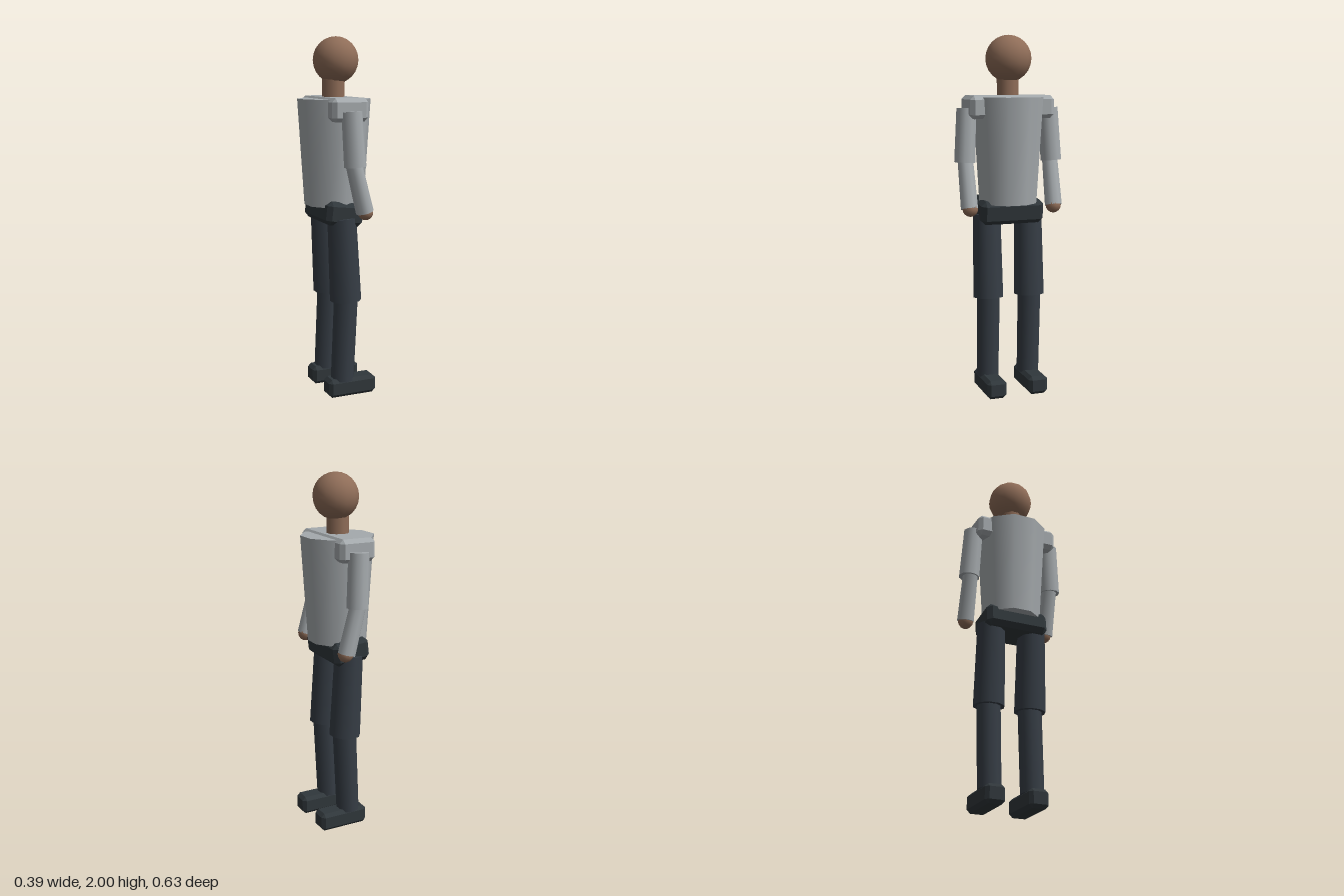
import * as THREE from 'three';
import { ConvexGeometry } from 'three/addons/geometries/ConvexGeometry.js';

const material = (name, color) => {
  const m = new THREE.MeshStandardMaterial({ color });
  m.name = name;
  return m;
};

// Box with every edge cut at 45 degrees
function chamferBox(w, h, d, b) {
  const [x, y, z] = [w / 2, h / 2, d / 2];
  const points = [];
  for (const i of [-1, 1]) for (const j of [-1, 1]) for (const k of [-1, 1]) {
    points.push(
      new THREE.Vector3(i * x, j * (y - b), k * (z - b)),
      new THREE.Vector3(i * (x - b), j * y, k * (z - b)),
      new THREE.Vector3(i * (x - b), j * (y - b), k * z));
  }
  return new ConvexGeometry(points);
}

export function createModel() {
  const model = new THREE.Group();
  model.name = 'standingFigure';
  const skin = material('skin', 0x8f6d58);
  const shirt = material('shirt grey', 0xa5aaad);
  const trousers = material('trouser slate', 0x363d45);
  const dark = material('belt and shoe charcoal', 0x30373b);

  const add = (name, geometry, mat, x, y, z) => {
    const mesh = new THREE.Mesh(geometry, mat);
    mesh.name = name;
    mesh.position.set(x, y, z);
    model.add(mesh);
    return mesh;
  };

  // Tapered limb running from an upper joint to a lower joint
  const limb = (name, mat, top, bottom, rTop, rBottom) => {
    const a = new THREE.Vector3(...top), b = new THREE.Vector3(...bottom);
    const dir = a.clone().sub(b);
    const mid = a.clone().add(b).multiplyScalar(0.5);
    const mesh = add(name, new THREE.CylinderGeometry(rTop, rBottom, dir.length(), 10), mat, mid.x, mid.y, mid.z);
    mesh.quaternion.setFromUnitVectors(new THREE.Vector3(0, 1, 0), dir.normalize());
  };

  // Head and neck
  add('head', new THREE.SphereGeometry(0.127, 14, 12), skin, 0.01, 1.873, 0).rotation.y = Math.PI / 2;
  add('neck', new THREE.CylinderGeometry(0.062, 0.062, 0.14, 10), skin, -0.003, 1.71, 0);

  // Trunk, shoulder yoke and hips; the figure looks towards +x
  add('torso', new THREE.CylinderGeometry(0.203, 0.166, 0.585, 10), shirt, 0, 1.372, 0);
  add('shoulderYoke', chamferBox(0.21, 0.126, 0.482, 0.022), shirt, -0.001, 1.612, 0);
  add('hips', chamferBox(0.218, 0.132, 0.362, 0.026), dark, -0.002, 1.043, 0).rotation.z = -0.12;

  // Mirrored arms and legs
  for (const [side, s] of [['right', 1], ['left', -1]]) {
    limb(side + 'UpperArm', shirt, [0, 1.605, s * 0.238], [0.014, 1.312, s * 0.253], 0.056, 0.06);
    limb(side + 'Forearm', shirt, [0.004, 1.34, s * 0.248], [0.075, 1.064, s * 0.246], 0.044, 0.049);
    add(side + 'Hand', new THREE.SphereGeometry(0.043, 10, 8), skin, 0.08, 1.063, s * 0.243);
    limb(side + 'Thigh', trousers, [-0.006, 1.02, s * 0.122], [0.018, 0.552, s * 0.122], 0.08, 0.088);
    limb(side + 'Shin', trousers, [0.02, 0.57, s * 0.122], [-0.002, 0.09, s * 0.122], 0.067, 0.065);
    add(side + 'Shoe', chamferBox(0.286, 0.104, 0.112, 0.019), dark, 0.044, 0.052, s * 0.122);
  }
  return model;
}
